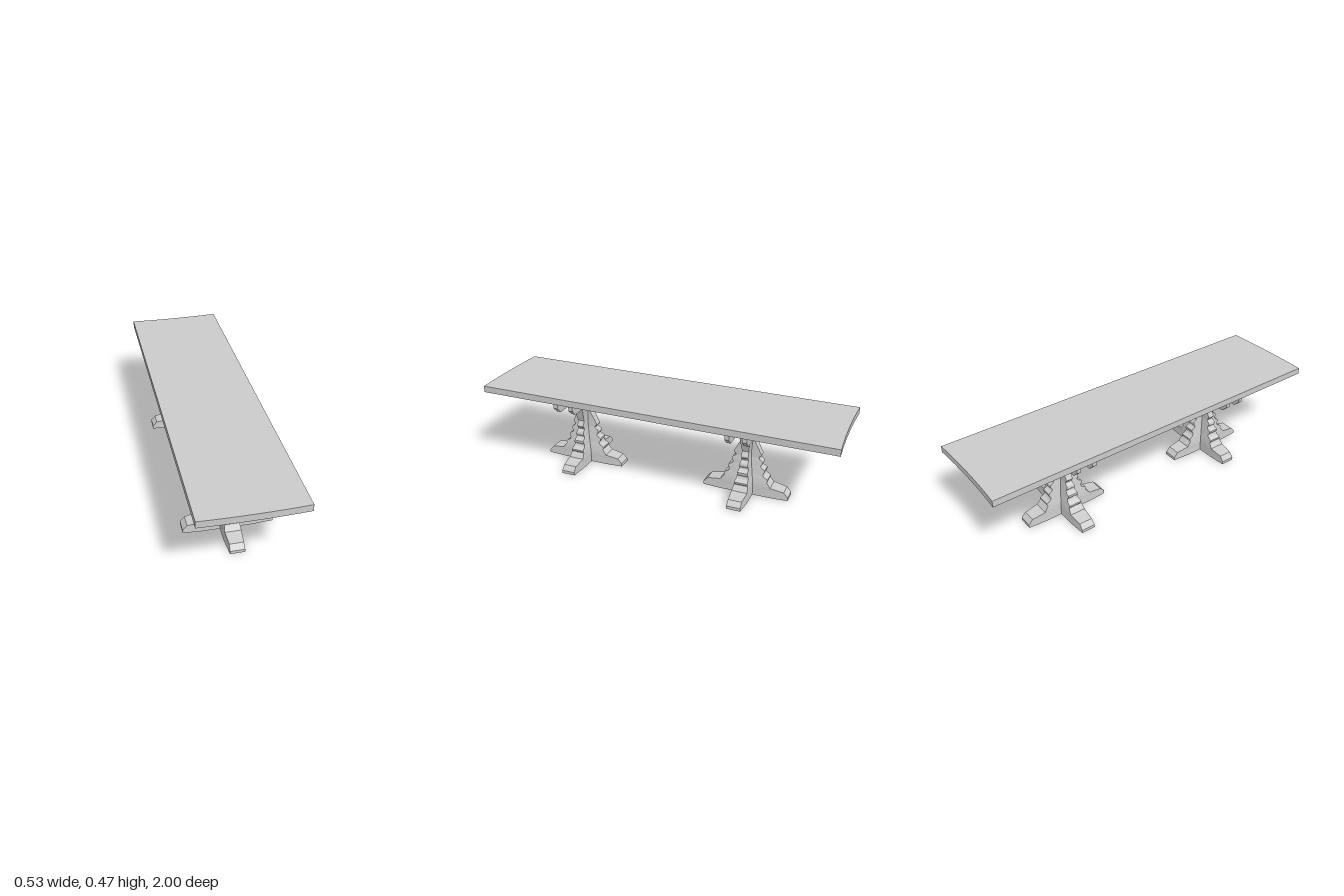
import * as THREE from 'three';
import { toCreasedNormals } from 'three/addons/utils/BufferGeometryUtils.js';

const material = new THREE.MeshStandardMaterial({ color: 0xcccccc });

function part(name, geometry, crease = 0.6) {
  const mesh = new THREE.Mesh(toCreasedNormals(geometry, crease), material);
  mesh.name = name;
  return mesh;
}

// Scrolled leg outline shared by both slabs: [reach, height]
const LEG = [
  [0.238, 0], [0.238, 0.017], [0.214, 0.043], [0.14, 0.056], [0.118, 0.085],
  [0.122, 0.091], [0.121, 0.098], [0.115, 0.104], [0.102, 0.109], [0.095, 0.117],
  [0.093, 0.128], [0.1, 0.135], [0.102, 0.141], [0.101, 0.148], [0.096, 0.152],
  [0.083, 0.158], [0.078, 0.164], [0.077, 0.171], [0.083, 0.178], [0.085, 0.184],
  [0.084, 0.191], [0.08, 0.198], [0.068, 0.204], [0.064, 0.21], [0.065, 0.217],
  [0.074, 0.223], [0.076, 0.229], [0.074, 0.236], [0.07, 0.242], [0.062, 0.26],
];
const WIDE_TOP = [[0.074, 0.295], [0.083, 0.325], [0.1, 0.372], [0.1, 0.435]];
const NARROW_TOP = [[0.049, 0.285], [0.024, 0.335]];

// Half thickness of a slab's outer edge: [height, half thickness]
const THICKNESS = [[0, 0.039], [0.043, 0.037], [0.056, 0.043], [0.14, 0.029],
  [0.215, 0.019], [0.26, 0.019], [0.335, 0.026], [0.435, 0.032]];

function thicknessAt(y) {
  const k = Math.max(1, THICKNESS.findIndex(([h]) => h >= y));
  const [y0, t0] = THICKNESS[k - 1], [y1, t1] = THICKNESS[k];
  return t0 + (t1 - t0) * (y - y0) / (y1 - y0);
}

// Stack of eight-cornered sections, thicker at the core than at the outer edge
function slabGeometry(profile) {
  const positions = [], index = [], n = 8;
  for (const [r, y] of profile) {
    const t = thicknessAt(y), s = r * 0.58, w = t + (y < 0.05 ? 0.007 : 0.003);
    const ring = [[r, -t], [r, t], [s, w], [-s, w], [-r, t], [-r, -t], [-s, -w], [s, -w]];
    for (const [x, z] of ring) positions.push(x, y, z);
  }
  const top = (profile.length - 1) * n;
  for (let k = 0; k < top; k += n) {
    for (let i = 0; i < n; i++) {
      const a = k + i, b = k + (i + 1) % n;
      index.push(a, a + n, b + n, a, b + n, b);
    }
  }
  for (let i = 1; i < n - 1; i++) {
    index.push(0, i, i + 1, top, top + i + 1, top + i);
  }
  const g = new THREE.BufferGeometry();
  g.setAttribute('position', new THREE.Float32BufferAttribute(positions, 3));
  g.setIndex(index);
  return g;
}

function railGeometry() {
  const shape = new THREE.Shape([[-0.218, 0.372], [0.218, 0.372], [0.25, 0.403],
    [0.25, 0.435], [-0.25, 0.435], [-0.25, 0.403]].map(([x, y]) => new THREE.Vector2(x, y)));
  return new THREE.ExtrudeGeometry(shape, { depth: 0.024, bevelEnabled: false })
    .translate(0, 0, -0.012);
}

function pedestal(name, z) {
  const group = new THREE.Group();
  group.name = name;
  const crossSlab = part('crossSlab', slabGeometry([...LEG, ...WIDE_TOP]));
  const lengthSlab = part('lengthSlab', slabGeometry([...LEG, ...NARROW_TOP]));
  lengthSlab.rotation.y = Math.PI / 2;
  group.add(crossSlab, lengthSlab);
  // Rails clasping the top of the post
  for (const side of [1, -1]) {
    const rail = part(side > 0 ? 'frontRail' : 'backRail', railGeometry());
    rail.position.z = side * 0.046;
    group.add(rail);
  }
  group.position.set(-0.002, 0, z);
  return group;
}

// Plank top with slightly bowed ends
function tabletop() {
  const shape = new THREE.Shape();
  shape.moveTo(-0.264, -0.994);
  shape.quadraticCurveTo(0, -1.006, 0.264, -0.992);
  shape.lineTo(0.264, 1);
  shape.quadraticCurveTo(0, 0.982, -0.264, 0.997);
  shape.closePath();
  const g = new THREE.ExtrudeGeometry(shape, { depth: 0.036, bevelEnabled: false, curveSegments: 8 });
  g.rotateX(-Math.PI / 2).translate(0, 0.434, 0);
  return part('tabletop', g);
}

export function createModel() {
  const model = new THREE.Group();
  model.name = 'trestleTable';
  model.add(tabletop(), pedestal('frontPedestal', 0.497), pedestal('backPedestal', -0.483));
  return model;
}
